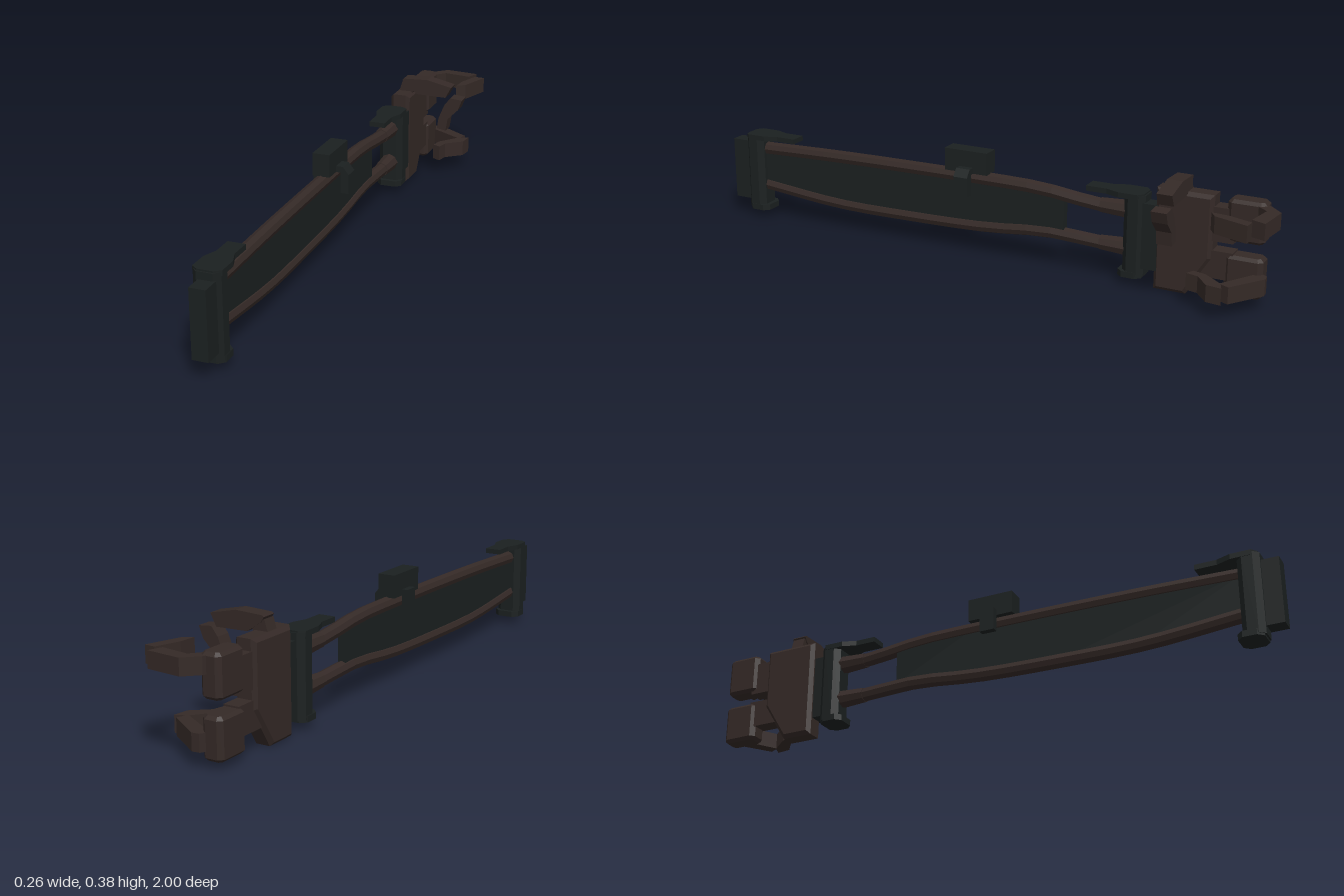
import * as THREE from 'three';

const AX = -0.085; // x of the arm's axis
const mat = (color) => new THREE.MeshStandardMaterial({ color, flatShading: true });

export function createModel() {
  const root = new THREE.Group();
  const dark = mat(0x1b2020);
  const brown = mat(0x342926);

  const add = (name, geo, material) => {
    const m = new THREE.Mesh(geo, material);
    m.name = name;
    root.add(m);
    return m;
  };
  const extrude = (pts, depth, bevel = 0) => {
    const shape = new THREE.Shape(pts.map(([a, b]) => new THREE.Vector2(a, b)));
    const g = new THREE.ExtrudeGeometry(shape, {
      depth: depth - 2 * bevel, bevelEnabled: bevel > 0, bevelSize: bevel,
      bevelThickness: bevel, bevelOffset: -bevel, bevelSegments: 1,
    });
    return g.translate(0, 0, bevel);
  };
  // Outline in (x, z), raised from y0 to y1
  const plan = (name, pts, y0, y1, m, bevel) =>
    add(name, extrude(pts.map(([x, z]) => [x, -z]), y1 - y0, bevel).rotateX(-Math.PI / 2).translate(0, y0, 0), m);
  // Outline in (z, y), spanning x0 to x1
  const side = (name, pts, x0, x1, m, bevel) =>
    add(name, extrude(pts, x1 - x0, bevel).rotateY(-Math.PI / 2).translate(x1, 0, 0), m);
  // Outline in (x, y), spanning z0 to z1
  const front = (name, pts, z0, z1, m) => add(name, extrude(pts, z1 - z0).translate(0, 0, z0), m);
  const box = (name, x0, x1, y0, y1, z0, z1, m) =>
    add(name, new THREE.BoxGeometry(x1 - x0, y1 - y0, z1 - z0)
      .translate((x0 + x1) / 2, (y0 + y1) / 2, (z0 + z1) / 2), m);
  // Rectangle in plan with cut corners
  const cutRect = (x0, x1, z0, z1, c) => [
    [x0 + c, z0], [x1 - c, z0], [x1, z0 + c], [x1, z1 - c],
    [x1 - c, z1], [x0 + c, z1], [x0, z1 - c], [x0, z0 + c],
  ];

  // Elbow and wrist cuffs, mirrored about the middle of the forearm
  for (const [label, f] of [['elbow', (z) => z], ['wrist', (z) => 0.38 - z]]) {
    const map = (pts) => pts.map(([x, z]) => [x, f(z)]);
    plan(label + 'Cuff', map(cutRect(-0.128, -0.042, 0.875, 0.945, 0.018)), 0.035, 0.3, dark);
    plan(label + 'TopFlange', map([
      [-0.113, 0.745], [-0.057, 0.745], [-0.057, 0.815], [-0.04, 0.86], [-0.04, 0.925],
      [-0.06, 0.94], [-0.11, 0.94], [-0.13, 0.925], [-0.13, 0.86], [-0.113, 0.815],
    ]), 0.288, 0.305, dark);
    plan(label + 'BottomFlange', map(cutRect(-0.13, -0.04, 0.86, 0.94, 0.018)), 0.028, 0.048, dark);
    const ends = [f(0.93), f(1.0)].sort((a, b) => a - b);
    box(label + 'EndPlate', -0.104, -0.053, 0.062, 0.277, ends[0], ends[1], dark);
  }

  // Forearm rods and their wrist sleeves
  const rods = {
    upper: [[0.89, 0.25], [0.55, 0.26], [0, 0.265], [-0.2, 0.262], [-0.4, 0.24], [-0.5, 0.24]],
    lower: [[0.89, 0.12], [0.57, 0.093], [0.3, 0.093], [0, 0.102], [-0.22, 0.122], [-0.4, 0.115], [-0.5, 0.115]],
  };
  for (const [label, pts] of Object.entries(rods)) {
    const curve = new THREE.CatmullRomCurve3(pts.map(([z, y]) => new THREE.Vector3(AX, y, z)));
    add(label + 'Rod', new THREE.TubeGeometry(curve, 16, 0.023, 8), brown);
    const y = pts[pts.length - 1][1];
    add(label + 'RodSleeve', new THREE.CylinderGeometry(0.025, 0.031, 0.1, 8)
      .rotateX(Math.PI / 2).translate(AX, y, -0.46), brown);
  }

  // Panel between the rods
  side('forearmPanel', [
    [0.89, 0.12], [0.57, 0.093], [0.3, 0.093], [0, 0.102], [-0.285, 0.125],
    [-0.285, 0.25], [0, 0.265], [0.55, 0.26], [0.89, 0.25],
  ], AX - 0.013, AX + 0.013, dark);

  // Clamp over the upper rod
  box('clampBlock', -0.113, -0.055, 0.285, 0.36, -0.015, 0.14, dark);
  front('clampBracket', [
    [-0.133, 0.228], [-0.112, 0.228], [-0.112, 0.285], [-0.04, 0.285], [-0.04, 0.215],
    [-0.012, 0.215], [-0.012, 0.28], [-0.032, 0.305], [-0.133, 0.305],
  ], 0.035, 0.085, dark);

  // Palm and finger knuckles
  side('palm', [[-0.6, 0.002], [-0.6, 0.335], [-0.785, 0.335], [-0.785, 0.13], [-0.705, 0.002]],
    -0.121, -0.051, brown, 0.012);
  for (const [label, y0, y1, n0, n1] of [['upper', 0.2, 0.333, 0.19, 0.3], ['lower', 0.025, 0.155, 0.07, 0.16]]) {
    box(label + 'KnuckleNeck', -0.112, -0.06, n0, n1, -0.85, label === 'upper' ? -0.77 : -0.73, brown);
    plan(label + 'Knuckle', cutRect(-0.121, -0.053, -0.945, -0.825, 0.014), y0, y1, brown, 0.01);
  }

  // Upper finger
  plan('upperFingerBase', [
    [-0.085, -0.93], [-0.075, -0.955], [-0.03, -0.998], [0.087, -0.985], [0.07, -0.94],
    [-0.025, -0.955], [-0.055, -0.92],
  ], 0.272, 0.324, brown);
  plan('upperFingerTip', [
    [0.092, -0.948], [0.128, -0.945], [0.09, -0.835], [0.06, -0.815], [0.065, -0.87],
  ], 0.27, 0.324, brown);

  // Lower finger
  plan('lowerFingerBase', [
    [-0.08, -0.93], [-0.06, -0.96], [-0.035, -0.962], [0.078, -0.885], [0.062, -0.85], [-0.055, -0.92],
  ], 0.053, 0.107, brown);
  plan('lowerFingerTip', [
    [0.06, -0.855], [0.097, -0.87], [0.09, -0.82], [0.035, -0.775],
    [0.025, -0.735], [-0.003, -0.748], [0.007, -0.79],
  ], 0.053, 0.107, brown);

  // Thumb
  front('thumbBase', [
    [-0.095, 0.376], [-0.09, 0.381], [0, 0.385], [0.09, 0.365], [0.07, 0.326], [-0.037, 0.328], [-0.085, 0.36],
  ], -0.703, -0.653, brown);
  front('thumbTip', [
    [0.088, 0.326], [0.132, 0.322], [0.118, 0.285], [0.08, 0.246],
    [0.073, 0.202], [0.04, 0.208], [0.046, 0.247], [0.066, 0.297],
  ], -0.703, -0.653, brown);
  front('thumbMount', [[-0.11, 0.32], [-0.06, 0.32], [-0.05, 0.35], [-0.095, 0.37]], -0.7, -0.656, brown);

  return root;
}
